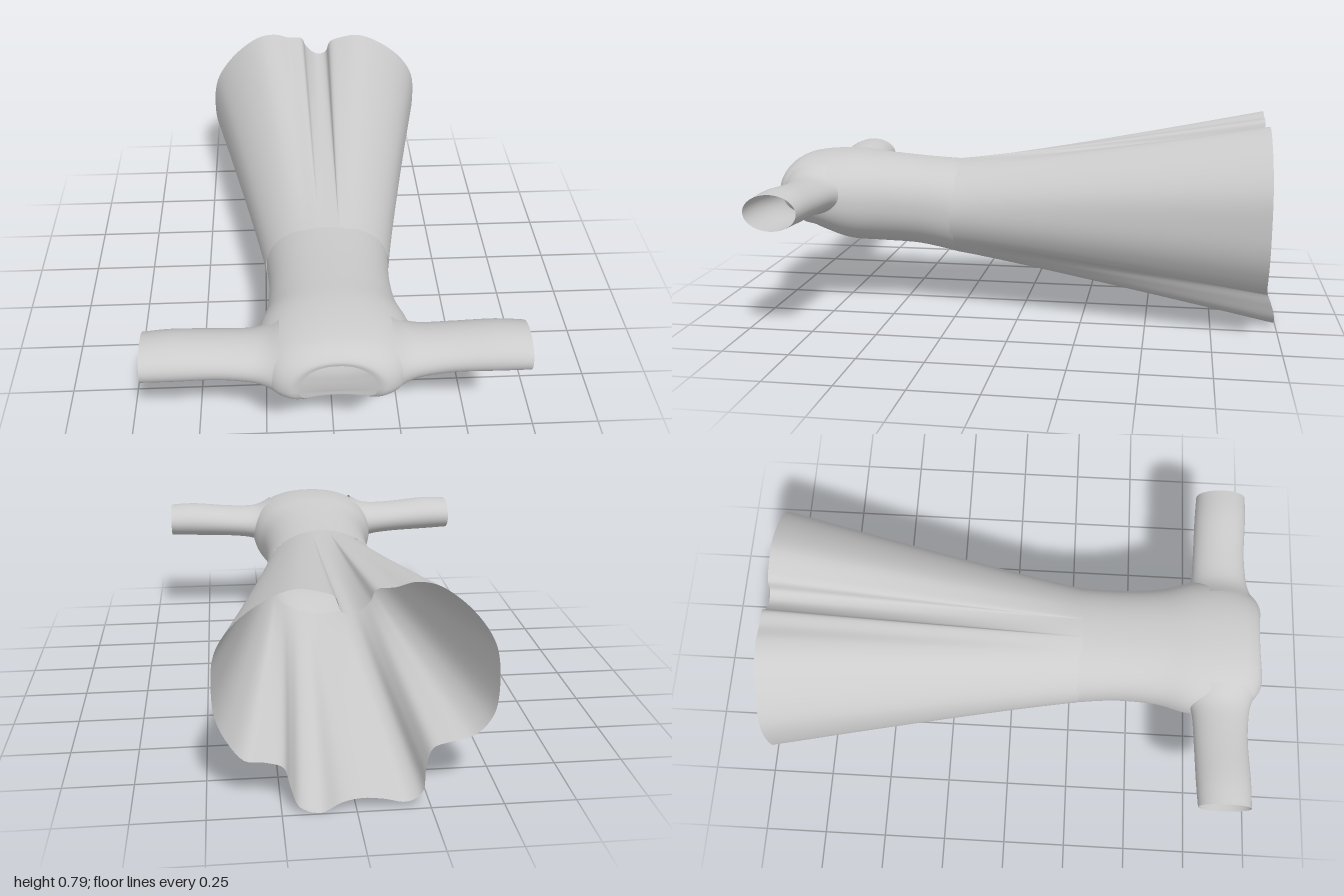
import * as THREE from 'three';

const SEG = 120;
const cloth = new THREE.MeshStandardMaterial({ color: 0xcccccc, side: THREE.DoubleSide });

// Skin a list of closed rings (arrays of Vector3) into one open tube
function loft(name, rings) {
  const n = rings[0].length;
  const index = [];
  for (let r = 0; r < rings.length - 1; r++) {
    for (let i = 0; i < n; i++) {
      const a = r * n + i, b = r * n + (i + 1) % n;
      index.push(a, b, a + n, b, b + n, a + n);
    }
  }
  const geo = new THREE.BufferGeometry().setFromPoints(rings.flat());
  geo.setIndex(index);
  geo.computeVertexNormals();
  const mesh = new THREE.Mesh(geo, cloth);
  mesh.name = name;
  return mesh;
}

// Interpolate rows of section numbers smoothly, giving steps rows per span
function smoothRows(rows, steps) {
  const out = [];
  const last = rows.length - 1;
  for (let k = 0; k <= last * steps; k++) {
    const i = Math.min(Math.floor(k / steps), last - 1), t = k / steps - i;
    const at = (j) => rows[Math.max(0, Math.min(last, j))];
    out.push(rows[i].map((p1, c) => {
      const p2 = at(i + 1)[c];
      const m1 = (p2 - at(i - 1)[c]) / 2, m2 = (at(i + 2)[c] - p1) / 2;
      const t2 = t * t, t3 = t2 * t;
      return (2 * t3 - 3 * t2 + 1) * p1 + (t3 - 2 * t2 + t) * m1 + (3 * t2 - 2 * t3) * p2 + (t3 - t2) * m2;
    }));
  }
  return out;
}

// Skirt: an oval waist spreading into a folded hem
function makeSkirt() {
  const hem = [
    [0.01, 0.69], [0.05, 0.70], [0.07, 0.75], [0.12, 0.77], [0.2, 0.78], [0.3, 0.74], [0.4, 0.66],
    [0.455, 0.57], [0.468, 0.45], [0.46, 0.35], [0.43, 0.27], [0.37, 0.19], [0.30, 0.18], [0.24, 0.16],
    [0.22, 0.10], [0.19, 0.03], [0.12, 0.005], [0.05, 0.04], [-0.02, 0.052], [-0.09, 0.045],
    [-0.17, 0.03], [-0.22, 0.06], [-0.235, 0.14], [-0.26, 0.20], [-0.32, 0.22], [-0.40, 0.24],
    [-0.46, 0.31], [-0.475, 0.42], [-0.46, 0.55], [-0.42, 0.63], [-0.34, 0.72], [-0.25, 0.78],
    [-0.18, 0.79], [-0.12, 0.775], [-0.06, 0.77], [-0.04, 0.73],
  ].map(([x, y]) => new THREE.Vector3(x, y, 0));
  const edge = new THREE.CatmullRomCurve3(hem, true).getPoints(180).slice(0, -1);
  const rings = [];
  for (let r = 0; r <= 24; r++) {
    const t = r / 24;
    rings.push(edge.map((p) => {
      const a = Math.atan2(p.y - 0.4, p.x);
      const f = Math.pow(t, 1.08);
      const endZ = -0.943 - 0.05 * (1 - THREE.MathUtils.smoothstep(p.y, 0.03, 0.23));
      return new THREE.Vector3(
        THREE.MathUtils.lerp(0.238 * Math.cos(a), p.x, f),
        THREE.MathUtils.lerp(0.407 + 0.19 * Math.sin(a), p.y, f),
        THREE.MathUtils.lerp(0.27, endZ, t));
    }));
  }
  return loft('skirt', rings);
}

// Bodice: z, half width, top y, bottom y, z shift at top, z shift at bottom
function makeBodice() {
  const rows = smoothRows([
    [0.26, 0.235, 0.593, 0.22, 0, 0],
    [0.42, 0.225, 0.602, 0.25, 0, 0],
    [0.58, 0.235, 0.615, 0.258, 0, 0],
    [0.70, 0.268, 0.626, 0.266, 0, 0],
    [0.80, 0.275, 0.624, 0.295, 0.01, -0.02],
    [0.89, 0.255, 0.612, 0.325, 0.01, -0.05],
    [0.955, 0.215, 0.592, 0.347, -0.01, -0.08],
    [0.985, 0.165, 0.573, 0.36, -0.02, -0.085],
    [0.98, 0.13, 0.557, 0.368, -0.015, -0.07],
  ], 5);
  return loft('bodice', rows.map(([z, w, top, bottom, zTop, zBottom]) =>
    Array.from({ length: SEG }, (_, i) => {
      const a = -i / SEG * Math.PI * 2;
      const s = Math.sin(a), c = Math.cos(a);
      // slightly squared oval
      const sx = Math.sign(c) * Math.pow(Math.abs(c), 0.9);
      const sy = Math.sign(s) * Math.pow(Math.abs(s), 0.9);
      return new THREE.Vector3(w * sx, (top + bottom) / 2 + sy * (top - bottom) / 2,
        z + s * s * (s > 0 ? zTop : zBottom));
    })));
}

// Sleeve: x, top y, bottom y, back z, front z
function makeSleeve(side) {
  const rows = smoothRows([
    [0.19, 0.595, 0.35, 0.67, 0.965],
    [0.235, 0.568, 0.39, 0.695, 0.945],
    [0.29, 0.556, 0.412, 0.712, 0.932],
    [0.40, 0.56, 0.424, 0.718, 0.925],
    [0.55, 0.572, 0.428, 0.724, 0.932],
    [0.655, 0.567, 0.432, 0.732, 0.933],
  ], 4);
  return loft(side > 0 ? 'leftSleeve' : 'rightSleeve', rows.map(([x, top, bottom, back, front]) =>
    Array.from({ length: 48 }, (_, i) => {
      const a = -side * i / 48 * Math.PI * 2;
      return new THREE.Vector3(side * x,
        (top + bottom) / 2 + Math.cos(a) * (top - bottom) / 2,
        (back + front) / 2 + Math.sin(a) * (front - back) / 2);
    })));
}

export function createModel() {
  const dress = new THREE.Group();
  dress.name = 'dress';
  dress.add(makeSkirt(), makeBodice(), makeSleeve(1), makeSleeve(-1));
  return dress;
}
